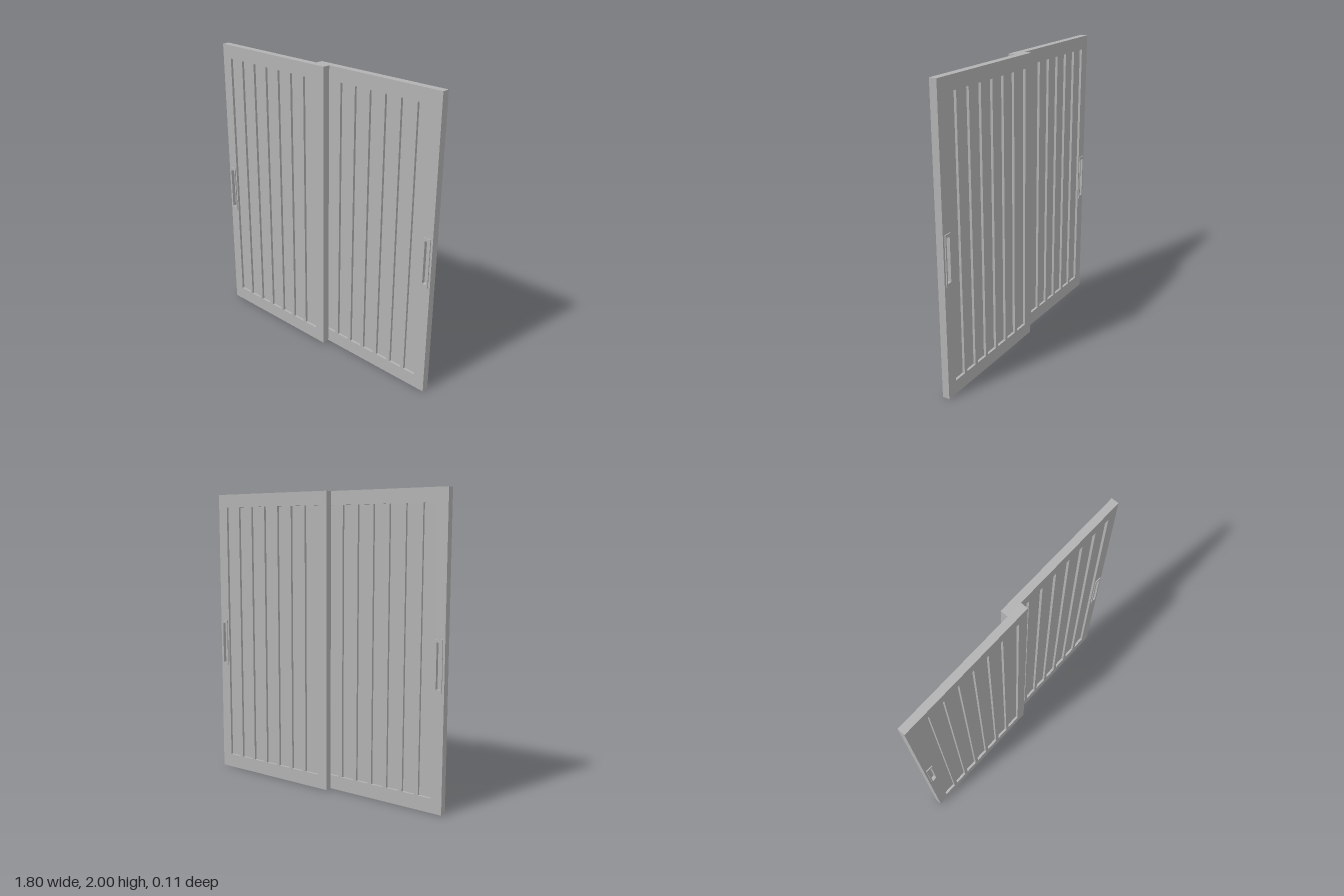
import * as THREE from 'three';

const grey = new THREE.MeshStandardMaterial({ color: 0xb2b2b2 });
grey.name = 'grey';

const THICK = 0.05;   // door thickness
const CORE = 0.016;   // thickness left between the two recessed faces
const LIP = 0.007;    // how far a handle stands proud of the door

const outline = (Type, [x0, x1, y0, y1]) => {
  const p = new Type();
  p.moveTo(x0, y0);
  p.lineTo(x1, y0);
  p.lineTo(x1, y1);
  p.lineTo(x0, y1);
  p.closePath();
  return p;
};

// Slab with rectangular holes, centred on z = 0
function cutSlab(name, rect, holes, depth) {
  const shape = outline(THREE.Shape, rect);
  holes.forEach((h) => shape.holes.push(outline(THREE.Path, h)));
  const geo = new THREE.ExtrudeGeometry(shape, { depth, bevelEnabled: false });
  geo.translate(0, 0, -depth / 2);
  const mesh = new THREE.Mesh(geo, grey);
  mesh.name = name;
  return mesh;
}

// Thin plate filling a hole at mid thickness
function plate(name, [x0, x1, y0, y1]) {
  const mesh = new THREE.Mesh(new THREE.BoxGeometry(x1 - x0, y1 - y0, CORE), grey);
  mesh.position.set((x0 + x1) / 2, (y0 + y1) / 2, 0);
  mesh.name = name;
  return mesh;
}

function slidingDoor(name) {
  const door = new THREE.Group();
  door.name = name;

  // Seven tall recesses, the innermost slightly wider
  const recesses = [];
  for (let i = 0; i < 7; i++) {
    const x = -0.825 + i * 0.117;
    recesses.push([x, i === 6 ? -0.017 : x + 0.091, 0.095, 1.91]);
  }
  const handle = [-0.886, -0.836, 0.77, 1.1];
  const cup = [-0.876, -0.846, 0.79, 1.08];

  door.add(cutSlab('doorFrame', [-0.9, 0.055, 0, 2], [...recesses, handle], THICK));
  recesses.forEach((r) => door.add(plate('recessedPanel', r)));

  // Recessed pull with a raised rim on both faces
  door.add(cutSlab('handleRim', handle, [cup], THICK + 2 * LIP));
  door.add(plate('handleCup', cup));
  return door;
}

export function createModel() {
  const model = new THREE.Group();
  model.name = 'slidingDoors';

  const front = slidingDoor('frontDoor');
  front.position.z = THICK / 2;

  // The rear door is the front one turned half way round
  const rear = slidingDoor('rearDoor');
  rear.rotation.y = Math.PI;
  rear.position.z = -THICK / 2;

  model.add(front, rear);
  return model;
}
